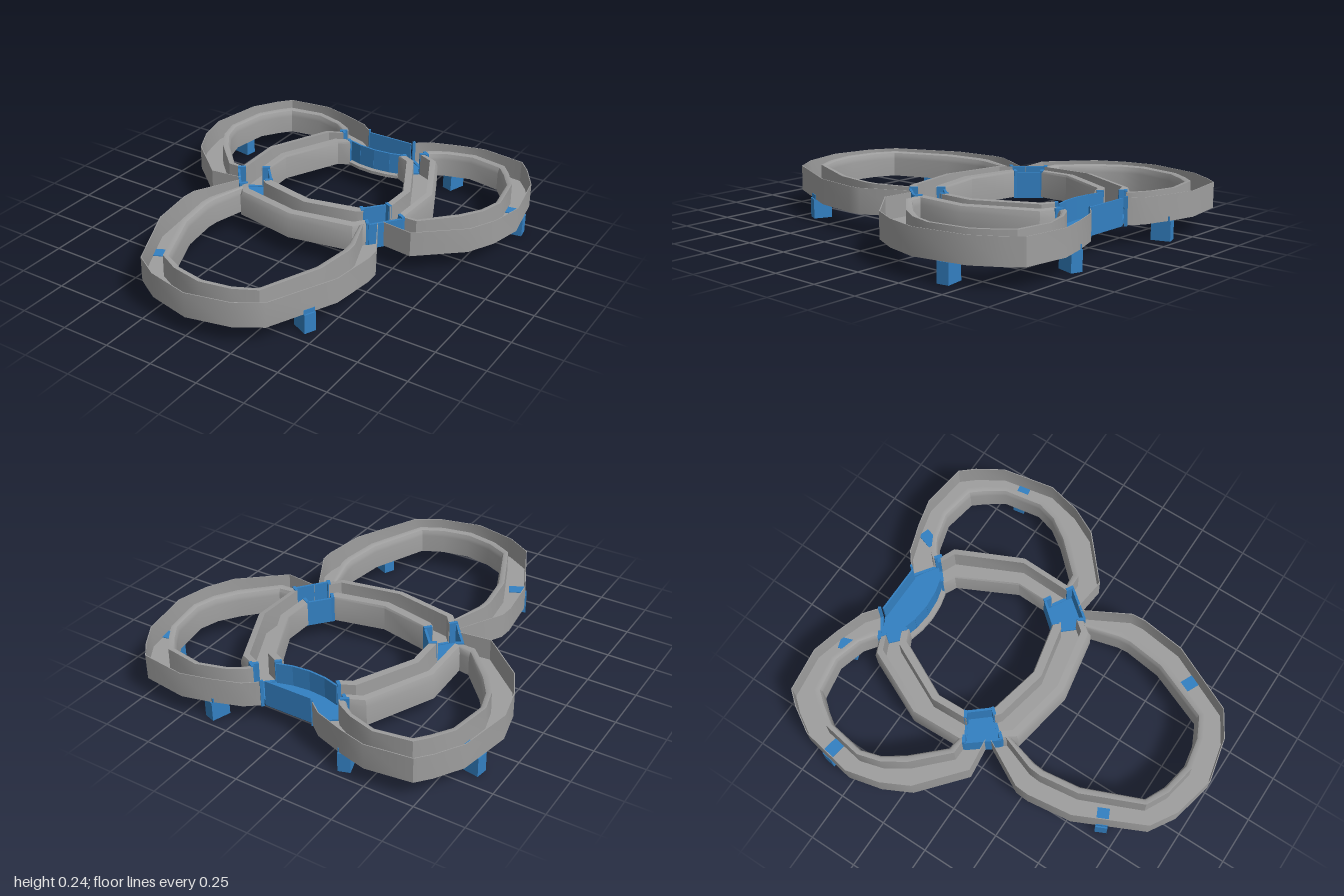
import * as THREE from 'three';
import { toCreasedNormals } from 'three/addons/utils/BufferGeometryUtils.js';

const grey = new THREE.MeshStandardMaterial({ color: 0x9e9e9e, side: THREE.DoubleSide });
const blue = new THREE.MeshStandardMaterial({ color: 0x3380c2, side: THREE.DoubleSide });

// Trough sections: [0 = outer edge .. 1 = inner edge, height]
const loopSection = [[0, 0.1], [1, 0.1], [1, 0.195], [0.98, 0.212], [0.93, 0.227], [0.86, 0.232], [0.74, 0.232],
  [0.73, 0.118], [0.03, 0.118], [0.03, 0.23], [0, 0.23]];
const ringSection = [[0, 0.1], [1, 0.1], [1, 0.225], [0.97, 0.235], [0.75, 0.235],
  [0.74, 0.118], [0.26, 0.118], [0.25, 0.235], [0.07, 0.23], [0, 0.2]];

const flip = pts => pts.map(([x, z]) => [-x, z]).reverse();
const mix = (a, b, t) => [a[0] + (b[0] - a[0]) * t, a[1] + (b[1] - a[1]) * t];

// Sweep a section between matching outer and inner outlines, with capped ends
function sweep(name, outer, inner, section) {
  const n = section.length, pos = [], idx = [];
  outer.forEach((o, j) => {
    for (const [t, y] of section) {
      const [x, z] = mix(o, inner[j], t);
      pos.push(x, y, z);
    }
  });
  for (let j = 0; j < outer.length - 1; j++) {
    for (let i = 0; i < n; i++) {
      const a = j * n + i, b = j * n + (i + 1) % n;
      idx.push(a, b, a + n, b, b + n, a + n);
    }
  }
  const cap = THREE.ShapeUtils.triangulateShape(section.map(([t, y]) => new THREE.Vector2(t, y)), []);
  const last = (outer.length - 1) * n;
  for (const [a, b, c] of cap) idx.push(a, c, b, last + a, last + b, last + c);
  const g = new THREE.BufferGeometry();
  g.setAttribute('position', new THREE.Float32BufferAttribute(pos, 3));
  g.setIndex(idx);
  const mesh = new THREE.Mesh(toCreasedNormals(g, 0.6), grey);
  mesh.name = name;
  return mesh;
}

// Flat plate from a plan outline
function plate(name, pts, y0, y1, material) {
  const shape = new THREE.Shape(pts.map(([x, z]) => new THREE.Vector2(x, -z)));
  const g = new THREE.ExtrudeGeometry(shape, { depth: y1 - y0, bevelEnabled: false });
  g.rotateX(-Math.PI / 2).translate(0, y0, 0);
  const mesh = new THREE.Mesh(g, material);
  mesh.name = name;
  return mesh;
}

// Upright bar running from plan point a to plan point b
function bar(name, a, b, y0, y1, thick) {
  const dx = b[0] - a[0], dz = b[1] - a[1];
  const mesh = new THREE.Mesh(new THREE.BoxGeometry(Math.hypot(dx, dz), y1 - y0, thick), blue);
  mesh.position.set((a[0] + b[0]) / 2, (y0 + y1) / 2, (a[1] + b[1]) / 2);
  mesh.rotation.y = -Math.atan2(dz, dx);
  mesh.name = name;
  return mesh;
}

// Joint frame: sill on the floor and a post over each trough wall
function joint(a, b, outerWidth) {
  const g = new THREE.Group();
  g.name = 'jointFrame';
  g.add(bar('sill', a, b, 0.095, 0.126, 0.014),
    bar('outerPost', a, mix(a, b, outerWidth), 0.095, 0.238, 0.016),
    bar('innerPost', mix(a, b, 0.76), b, 0.095, 0.238, 0.016));
  return g;
}

export function createModel() {
  const model = new THREE.Group();
  model.name = 'loopTrack';

  // Side loops
  const sideOuter = [[0.14, -0.86], [0.21, -0.915], [0.36, -0.965], [0.5, -1], [0.73, -0.97], [0.79, -0.9],
    [0.87, -0.77], [0.92, -0.5], [0.88, -0.33], [0.81, -0.19], [0.59, 0], [0.42, -0.02]];
  const sideInner = [[0.27, -0.765], [0.28, -0.785], [0.34, -0.83], [0.48, -0.87], [0.65, -0.84], [0.7, -0.78],
    [0.76, -0.69], [0.79, -0.5], [0.76, -0.4], [0.69, -0.3], [0.55, -0.15], [0.485, -0.14]];
  model.add(sweep('leftLoop', sideOuter, sideInner, loopSection));
  model.add(sweep('rightLoop', flip(sideOuter), flip(sideInner), loopSection));

  // Front loop
  const frontOuter = [[0.41, 0], [0.535, 0.23], [0.54, 0.3], [0.51, 0.53], [0.35, 0.87], [0.22, 0.95]];
  const frontInner = [[0.34, 0.07], [0.385, 0.24], [0.39, 0.3], [0.365, 0.49], [0.245, 0.78], [0.14, 0.83]];
  model.add(sweep('frontLoop', [...frontOuter, [0, 1], ...flip(frontOuter)],
    [...frontInner, [0, 0.855], ...flip(frontInner)], loopSection));

  // Central ring: two side arcs and the front arc
  const arcOuter = [[0.27, -0.77], [0.35, -0.735], [0.505, -0.4], [0.495, -0.1]];
  const arcInner = [[0.15, -0.665], [0.21, -0.635], [0.355, -0.34], [0.35, -0.18]];
  model.add(sweep('ringLeftArc', arcOuter, arcInner, ringSection));
  model.add(sweep('ringRightArc', flip(arcOuter), flip(arcInner), ringSection));
  const bowOuter = [[0.38, 0.04], [0.33, 0.11]], bowInner = [[0.27, -0.08], [0.25, -0.075]];
  model.add(sweep('ringFrontArc', [...bowOuter, [0, 0.17], ...flip(bowOuter)],
    [...bowInner, [0, -0.02], ...flip(bowInner)], ringSection));

  // Rear junction with straight back wall and bowed inner wall
  const bow = [[0.17, -0.7], [0.09, -0.678], [0, -0.67], [-0.09, -0.678], [-0.17, -0.7]];
  model.add(plate('rearJunctionFloor', [[-0.13, -0.845], [0.13, -0.845], [0.26, -0.775], ...bow, [-0.26, -0.775]].reverse(),
    0.095, 0.122, blue));
  model.add(plate('rearLedge', [...bow, [-0.15, -0.662], [-0.08, -0.645], [0, -0.638], [0.08, -0.645], [0.15, -0.662]],
    0.1, 0.117, grey));
  model.add(bar('rearOuterWall', [-0.13, -0.842], [0.13, -0.842], 0.095, 0.23, 0.008));
  for (let i = 0; i < bow.length - 1; i++) model.add(bar('rearInnerWall', bow[i], bow[i + 1], 0.095, 0.23, 0.01));

  for (const s of [1, -1]) {
    const p = (x, z) => [s * x, z];
    const side = s > 0 ? 'left' : 'right';

    // Joints of the rear junction
    model.add(joint(p(0.135, -0.86), p(0.275, -0.76), 0.06), joint(p(0.26, -0.77), p(0.155, -0.675), 0.24));

    // Side junction
    model.add(plate(side + 'JunctionFloor', [p(0.36, -0.18), p(0.49, -0.1), p(0.38, 0.04), p(0.27, -0.08)], 0.095, 0.122, blue));
    model.add(bar(side + 'JunctionInnerWall', p(0.27, -0.08), p(0.355, -0.18), 0.095, 0.23, 0.012));
    model.add(bar(side + 'JunctionOuterWall', p(0.49, -0.1), p(0.38, 0.04), 0.095, 0.23, 0.012));
    model.add(joint(p(0.495, -0.1), p(0.35, -0.185), 0.24), joint(p(0.38, 0.045), p(0.265, -0.085), 0.24));

    // Feet below the trough, each with a pad on its floor
    for (const [a, b] of [[[0.375, -0.963], [0.345, -0.872]], [[0.895, -0.655], [0.8, -0.64]], [[0.455, 0.672], [0.37, 0.632]]]) {
      model.add(bar(side + 'Foot', p(...a), p(...b), 0, 0.1, 0.06));
      model.add(bar(side + 'FootPad', p(...mix(a, b, 0.08)), p(...b), 0.1, 0.122, 0.06));
    }
  }
  return model;
}
